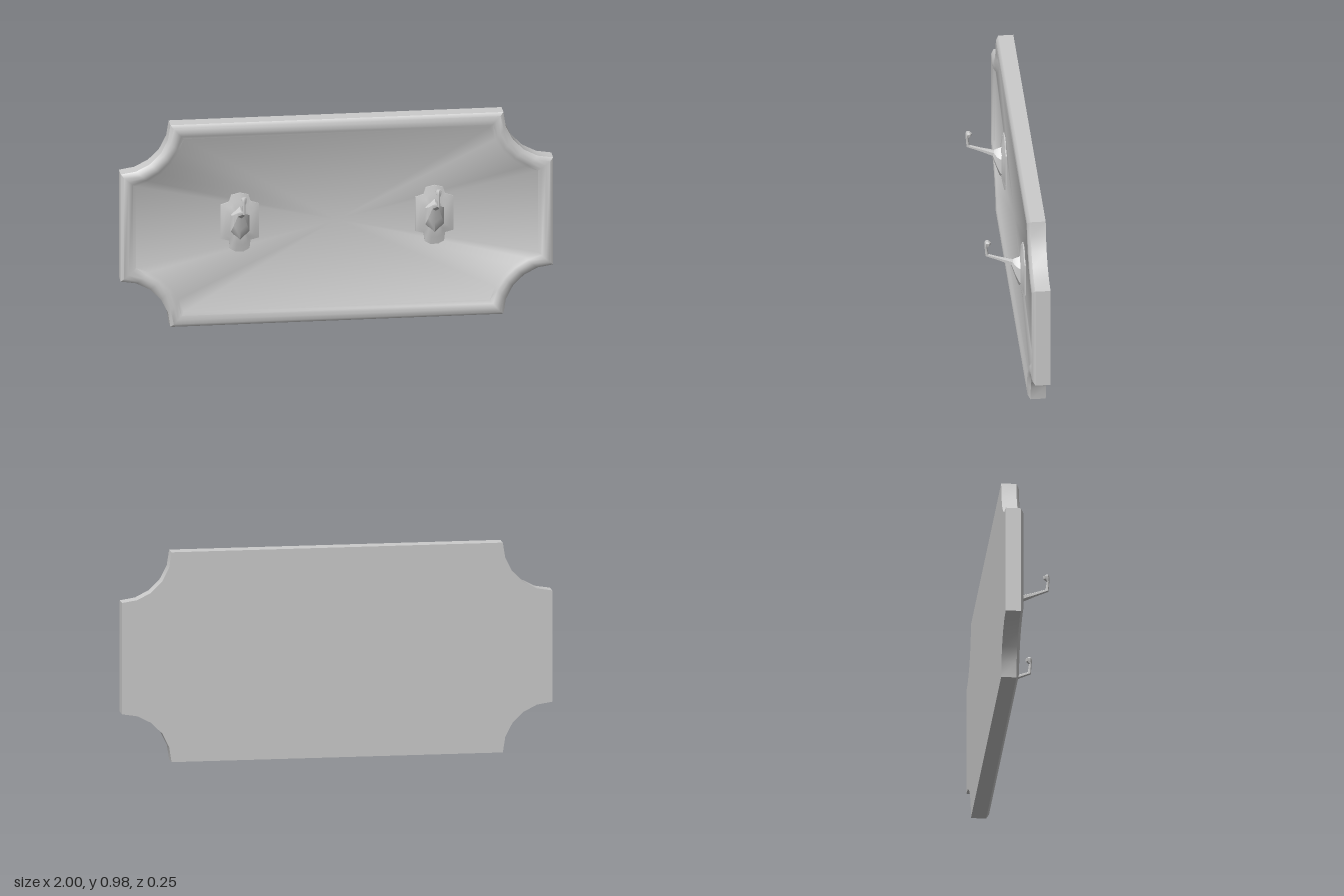
import * as THREE from 'three';
import { toCreasedNormals } from 'three/addons/utils/BufferGeometryUtils.js';

const material = new THREE.MeshStandardMaterial({ color: 0xcccccc });

// Skin a list of equal-length rings (counter-clockwise seen from the path's end) and cap both ends.
function loft(name, rings, crease) {
  const n = rings[0].length;
  const points = rings.flat();
  const index = [];
  for (let r = 0; r < rings.length - 1; r++) {
    for (let i = 0; i < n; i++) {
      const a = r * n + i, b = r * n + (i + 1) % n;
      index.push(a, b, a + n, b, b + n, a + n);
    }
  }
  [0, rings.length - 1].forEach((r, end) => {
    const centre = rings[r].reduce((s, p) => s.add(p), new THREE.Vector3()).divideScalar(n);
    const c = points.push(centre) - 1;
    for (let i = 0; i < n; i++) {
      const a = r * n + i, b = r * n + (i + 1) % n;
      if (end) index.push(c, a, b);
      else index.push(c, b, a);
    }
  });
  const geometry = new THREE.BufferGeometry().setFromPoints(points);
  geometry.setIndex(index);
  const mesh = new THREE.Mesh(toCreasedNormals(geometry, crease), material);
  mesh.name = name;
  return mesh;
}

// Board outline with scooped corners, moved inwards by an inset.
function boardRing(inset, z) {
  const W = 1, H = 0.49, radius = 0.23 + inset, steps = 5;
  const start = Math.asin(inset / radius);
  const ring = [];
  const corners = [[1, 1, 1.5], [-1, 1, 0], [-1, -1, 0.5], [1, -1, 1]];
  corners.forEach(([sx, sy, quarter]) => {
    // each scoop runs clockwise about its outer corner
    const from = (quarter - 1) * Math.PI;
    for (let i = 0; i <= steps; i++) {
      const t = from + Math.PI / 2 - Math.PI / 2 - start - (Math.PI / 2 - 2 * start) * (i / steps);
      const angle = t + Math.PI * 1;
      ring.push(new THREE.Vector3(sx * W + radius * Math.cos(angle), 0.49 + sy * H + radius * Math.sin(angle), z));
    }
  });
  return ring;
}

// Tilted elliptical ring of an arm; tilt 0 faces +z, a quarter turn faces up.
function armRing([y, z, halfWidth, halfThickness, tilt]) {
  const ring = [];
  for (let i = 0; i < 6; i++) {
    const a = (i / 6) * Math.PI * 2 + Math.PI / 6;
    const t = halfThickness * Math.sin(a);
    ring.push(new THREE.Vector3(halfWidth * Math.cos(a), y + t * Math.cos(tilt), z - t * Math.sin(tilt)));
  }
  return ring;
}

// Stepped outline of the mounting plate.
function plateRing(scale, z) {
  const half = [[0.088, -0.075], [0.088, 0.09], [0.05, 0.103], [0.04, 0.135], [0, 0.145]];
  const right = [[0.018, -0.14], [0.045, -0.125], [0.05, -0.085], ...half];
  const left = right.slice(0, -1).reverse().map(([x, y]) => [-x, y]);
  return [...right, ...left].map(([x, y]) => new THREE.Vector3(x * scale, 0.495 + y * scale, z));
}

function makeHook() {
  const hook = new THREE.Group();
  hook.name = 'hook';
  hook.add(loft('mountingPlate', [
    plateRing(1, -0.06), plateRing(1, -0.05), plateRing(0.75, -0.043), plateRing(0.5, -0.036),
  ], 0.6));
  // swelling base, rising arm, upright and knob
  hook.add(loft('hookArm', [
    [0.495, -0.048, 0.055, 0.09, 0],
    [0.5, -0.03, 0.048, 0.075, 0],
    [0.52, -0.015, 0.036, 0.05, 0],
    [0.55, 0.0, 0.018, 0.016, 0.3],
    [0.573, 0.06, 0.01, 0.01, 0.35],
    [0.595, 0.115, 0.008, 0.009, 0.9],
    [0.64, 0.12, 0.007, 0.006, 1.57],
    [0.652, 0.113, 0.013, 0.014, 1.57],
    [0.665, 0.112, 0.015, 0.015, 1.57],
    [0.673, 0.115, 0.009, 0.009, 1.57],
  ].map(armRing), 0.6));
  return hook;
}

export function createModel() {
  const model = new THREE.Group();
  model.name = 'coatRack';

  // board with a rounded raised rim around a sunken panel
  model.add(loft('board', [
    [0, -0.125], [0, -0.055], [0.015, -0.043], [0.035, -0.04], [0.055, -0.045], [0.07, -0.056],
  ].map(([inset, z]) => boardRing(inset, z)), 0.7));

  for (const side of [-1, 1]) {
    const hook = makeHook();
    hook.name = side < 0 ? 'rightHook' : 'leftHook';
    hook.position.x = 0.45 * side;
    model.add(hook);
  }
  return model;
}
